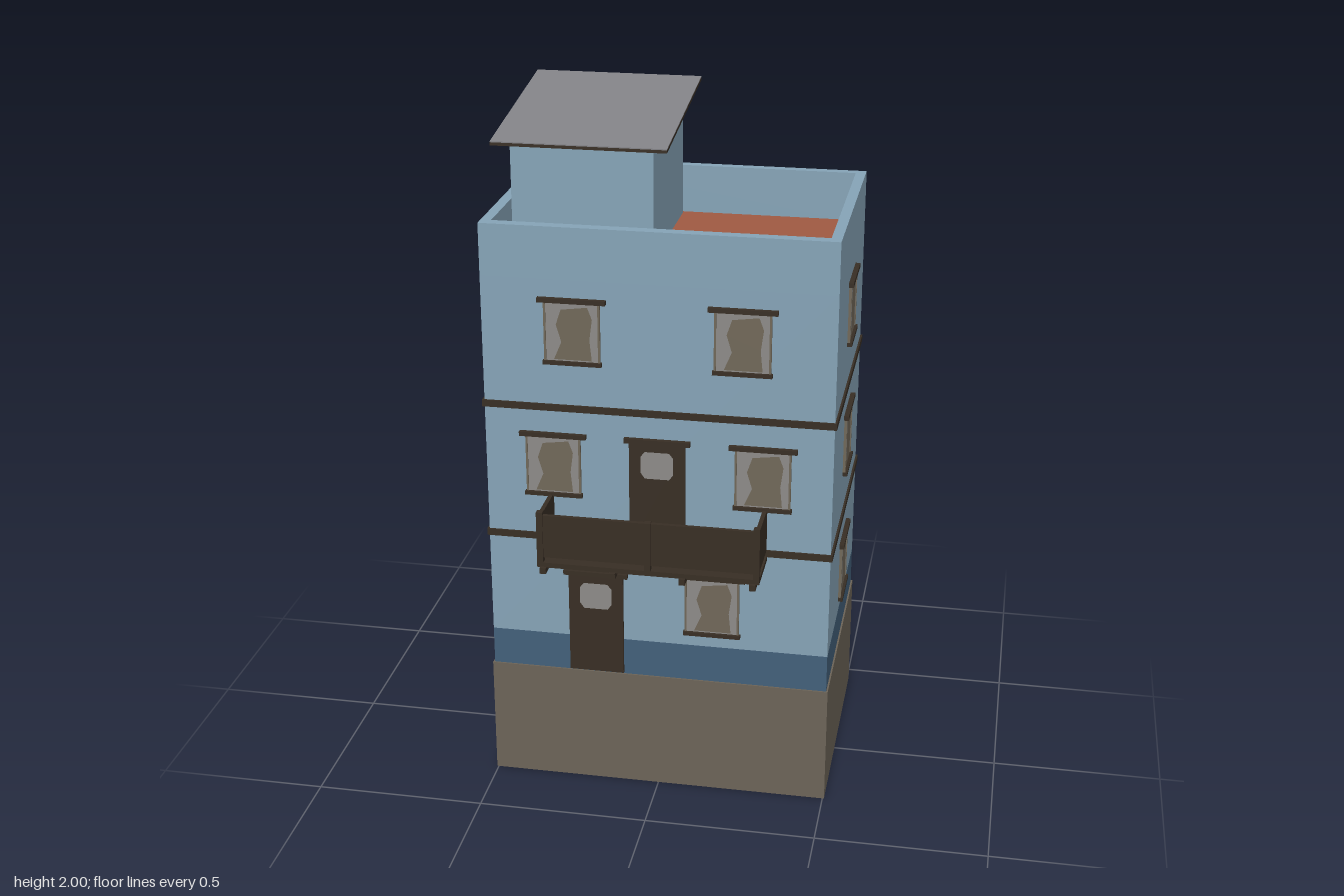
import * as THREE from 'three';

const paint = (name, color, side = THREE.FrontSide) => {
  const m = new THREE.MeshStandardMaterial({ color, side });
  m.name = name;
  return m;
};

export function createModel() {
  const wall = paint('wall blue', 0x86a4b7);
  const band = paint('dark blue', 0x43607a);
  const stone = paint('stone', 0x6c6458);
  const wood = paint('dark wood', 0x382e24);
  const tile = paint('terracotta', 0xa05a42);
  const slate = paint('roof grey', 0x828286);
  const glass = paint('glass', 0x8d8b88);
  const curtain = paint('curtain', 0x716859);

  const house = new THREE.Group();
  house.name = 'house';
  const X = 0.5, ZB = -0.44, ZF = 0.285, ZC = (ZB + ZF) / 2;

  const add = (parent, name, geo, mat) => {
    const m = new THREE.Mesh(geo, mat);
    m.name = name;
    parent.add(m);
    return m;
  };
  // box given by its limits on each axis
  const box = (parent, name, mat, x0, x1, y0, y1, z0, z1) => {
    const m = add(parent, name, new THREE.BoxGeometry(x1 - x0, y1 - y0, z1 - z0), mat);
    m.position.set((x0 + x1) / 2, (y0 + y1) / 2, (z0 + z1) / 2);
    return m;
  };
  // side profile of [z, y] points, extruded from x0 to x1
  const sideExtrude = (name, mat, pts, x0, x1) => {
    const shape = new THREE.Shape(pts.map(p => new THREE.Vector2(...p)));
    const geo = new THREE.ExtrudeGeometry(shape, { depth: x1 - x0, bevelEnabled: false });
    geo.rotateY(-Math.PI / 2).translate(x1, 0, 0);
    return add(house, name, geo, mat);
  };

  // Body
  box(house, 'basePlinth', stone, -0.505, 0.505, 0, 0.365, ZB - 0.005, ZF + 0.005);
  box(house, 'lowerBand', band, -X, X, 0.365, 0.48, ZB, ZF);
  box(house, 'walls', wall, -X, X, 0.48, 1.585, ZB, ZF);
  for (const y of [0.8, 1.205]) {
    box(house, 'floorTrim', wood, -0.506, 0.506, y - 0.01, y + 0.01, ZB - 0.006, ZF + 0.006);
  }

  // Roof terrace with its parapet
  const rect = (S, x, z0, z1) => {
    const s = new S();
    s.moveTo(-x, -z1).lineTo(x, -z1).lineTo(x, -z0).lineTo(-x, -z0).closePath();
    return s;
  };
  const ring = rect(THREE.Shape, X, ZB, ZF);
  ring.holes.push(rect(THREE.Path, 0.47, -0.412, 0.252));
  const parapet = new THREE.ExtrudeGeometry(ring, { depth: 0.15, bevelEnabled: false });
  parapet.rotateX(-Math.PI / 2).translate(0, 1.585, 0);
  add(house, 'parapet', parapet, wall);
  box(house, 'terraceFloor', tile, -0.47, 0.47, 1.583, 1.59, -0.412, 0.252);

  // Rooftop hut under a sloping roof
  const slope = z => 1.908 + (0.115 - z) * 0.08 / 0.56;
  const slab = (lo, hi) => [
    [0.115, slope(0.115) + lo], [0.115, slope(0.115) + hi],
    [-0.445, slope(-0.445) + hi], [-0.445, slope(-0.445) + lo],
  ];
  sideExtrude('hutWalls', wall,
    [[0.07, 1.585], [0.07, slope(0.07)], [-0.4, slope(-0.4)], [-0.4, 1.585]], -0.46, -0.05);
  sideExtrude('hutRoof', wood, slab(0, 0.009), -0.505, -0.003);
  sideExtrude('hutRoofTop', slate, slab(0.009, 0.012), -0.505, -0.003);

  // Window: built facing +z, origin at its centre on the wall
  const drape = new THREE.ShapeGeometry(new THREE.Shape([
    [-0.052, -0.082], [0.056, -0.082], [0.05, -0.02], [0.058, 0.04], [0.045, 0.075],
    [-0.03, 0.065], [-0.045, 0.02], [-0.03, -0.03],
  ].map(p => new THREE.Vector2(...p))));
  const windowAt = (x, y, z, turn) => {
    const g = new THREE.Group();
    g.name = 'window';
    box(g, 'pane', glass, -0.075, 0.075, -0.09, 0.088, -0.002, 0.005);
    add(g, 'curtain', drape, curtain).position.z = 0.0062;
    for (const s of [-1, 1]) {
      box(g, 'jamb', curtain, s * 0.077 - 0.003, s * 0.077 + 0.003, -0.09, 0.088, -0.002, 0.008);
    }
    box(g, 'lintel', wood, -0.097, 0.097, 0.085, 0.098, -0.002, 0.014);
    box(g, 'sill', wood, -0.084, 0.084, -0.097, -0.086, -0.002, 0.014);
    g.position.set(x, y, z);
    g.rotation.y = turn;
    house.add(g);
  };
  const rows = [0.615, 1.03, 1.435];
  // Front
  windowAt(0.16, rows[0], ZF, 0);
  for (const s of [-1, 1]) {
    windowAt(s * 0.302, rows[1], ZF, 0);
    windowAt(s * 0.24, rows[2], ZF, 0);
    // Back and both sides
    rows.forEach((y, i) => {
      windowAt(s * (i ? 0.213 : 0.163), y, ZB, Math.PI);
      windowAt(s * X, y, ZC, s * Math.PI / 2);
    });
  }

  // Doors with a small rounded light
  const light = new THREE.Shape([
    [-0.035, -0.042], [0.035, -0.042], [0.047, -0.025], [0.047, 0.025],
    [0.035, 0.04], [-0.035, 0.04], [-0.047, 0.025], [-0.047, -0.025],
  ].map(p => new THREE.Vector2(...p)));
  const doorAt = (name, x, y0, y1) => {
    const g = new THREE.Group();
    g.name = name;
    box(g, 'doorLeaf', wood, -0.081, 0.081, y0, y1, -0.002, 0.008);
    box(g, 'doorLintel', wood, -0.095, 0.095, y1 - 0.003, y1 + 0.011, -0.002, 0.014);
    add(g, 'doorLight', new THREE.ShapeGeometry(light), glass).position.set(0, y1 - 0.067, 0.0095);
    g.position.set(x, 0, ZF);
    house.add(g);
  };
  doorAt('frontDoor', -0.184, 0.37, 0.687);
  doorAt('balconyDoor', 0, 0.79, 1.118);

  // Balcony
  const balcony = new THREE.Group();
  balcony.name = 'balcony';
  house.add(balcony);
  box(balcony, 'balconyFloor', wood, -0.318, 0.318, 0.778, 0.793, ZF, 0.445);
  for (const x of [-0.3, -0.1, 0.1, 0.3]) {
    box(balcony, 'joist', wood, x - 0.009, x + 0.009, 0.762, 0.78, ZF, 0.455);
  }
  box(balcony, 'frontPanel', wood, -0.315, 0.315, 0.808, 0.938, 0.429, 0.441);
  for (const s of [-1, 1]) {
    box(balcony, 'sidePanel', wood, s * 0.31 - 0.006, s * 0.31 + 0.006, 0.808, 0.938, ZF, 0.435);
  }
  for (const x of [-0.309, 0, 0.309]) {
    box(balcony, 'post', wood, x - 0.009, x + 0.009, 0.78, x ? 0.948 : 0.94, 0.426, 0.445);
  }
  return house;
}
